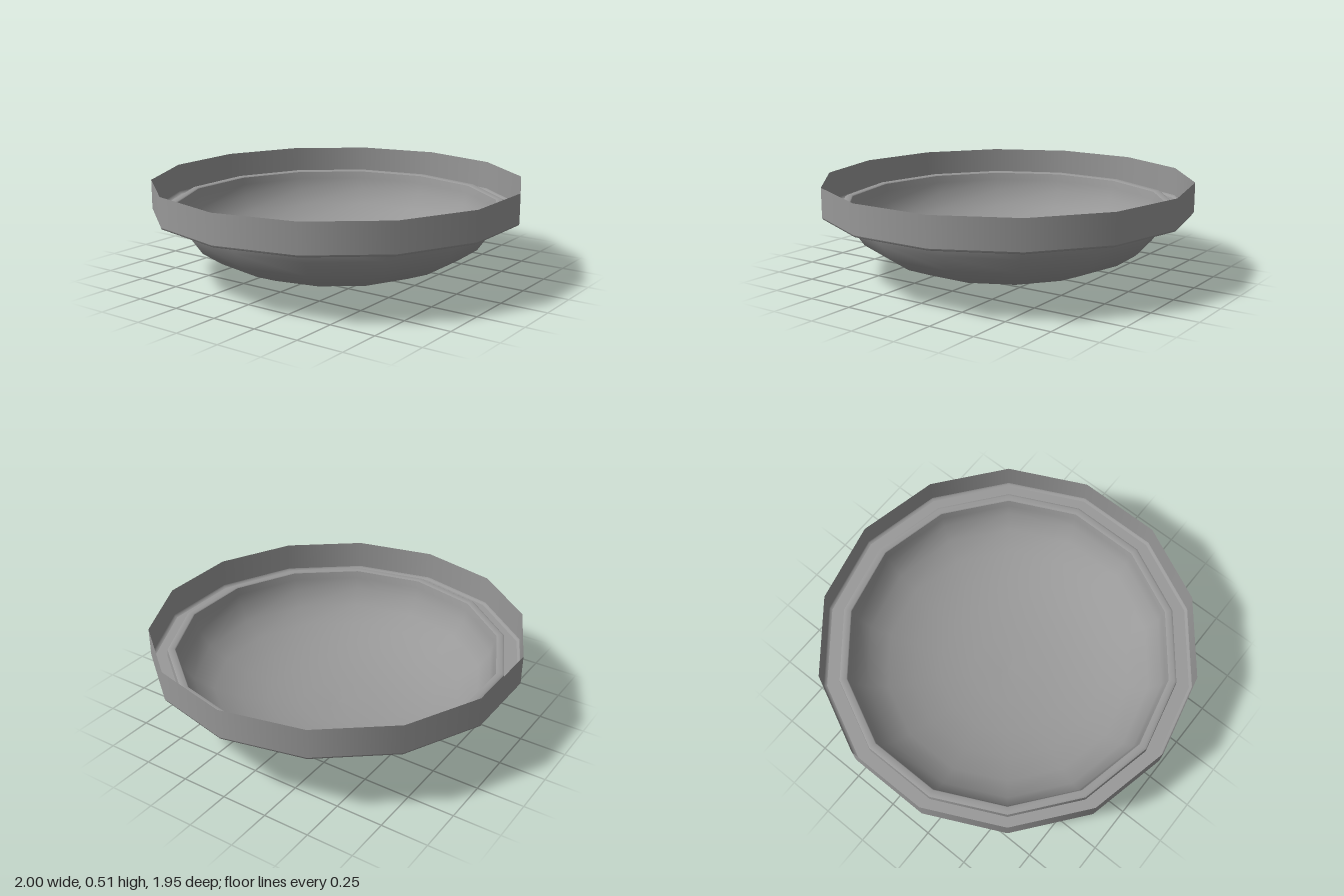
import * as THREE from 'three';

const SIDES = 14;

export function createModel() {
  const group = new THREE.Group();
  group.name = 'dish';
  const grey = new THREE.MeshStandardMaterial({ color: 0x999999, side: THREE.DoubleSide });
  grey.name = 'plain grey';

  // Thin revolved sheet; separate sheets keep the edges between them sharp
  const ring = (name, profile) => {
    const points = profile.map(([r, y]) => new THREE.Vector2(r, y));
    const mesh = new THREE.Mesh(new THREE.LatheGeometry(points, SIDES, Math.PI / 2), grey);
    mesh.name = name;
    group.add(mesh);
  };

  // Rounded bowl with a small flat base
  ring('bowl', [[0, 0], [0.2, 0.005], [0.39, 0.03], [0.54, 0.07], [0.68, 0.125],
    [0.785, 0.195], [0.845, 0.28], [0.86, 0.345], [0.87, 0.385]]);
  // Raised lip around the bowl's mouth
  ring('lipTop', [[0.87, 0.385], [0.875, 0.39], [0.9, 0.392], [0.912, 0.385]]);
  ring('lipSide', [[0.915, 0.345], [0.912, 0.385]]);
  // Flat ledge outside the lip
  ring('ledge', [[0.915, 0.345], [0.985, 0.345]]);
  // Upright outer wall with a bevelled foot
  ring('rimBevel', [[0.985, 0.345], [0.996, 0.349], [1, 0.358]]);
  ring('rimWall', [[1, 0.358], [1, 0.515]]);

  return group;
}
